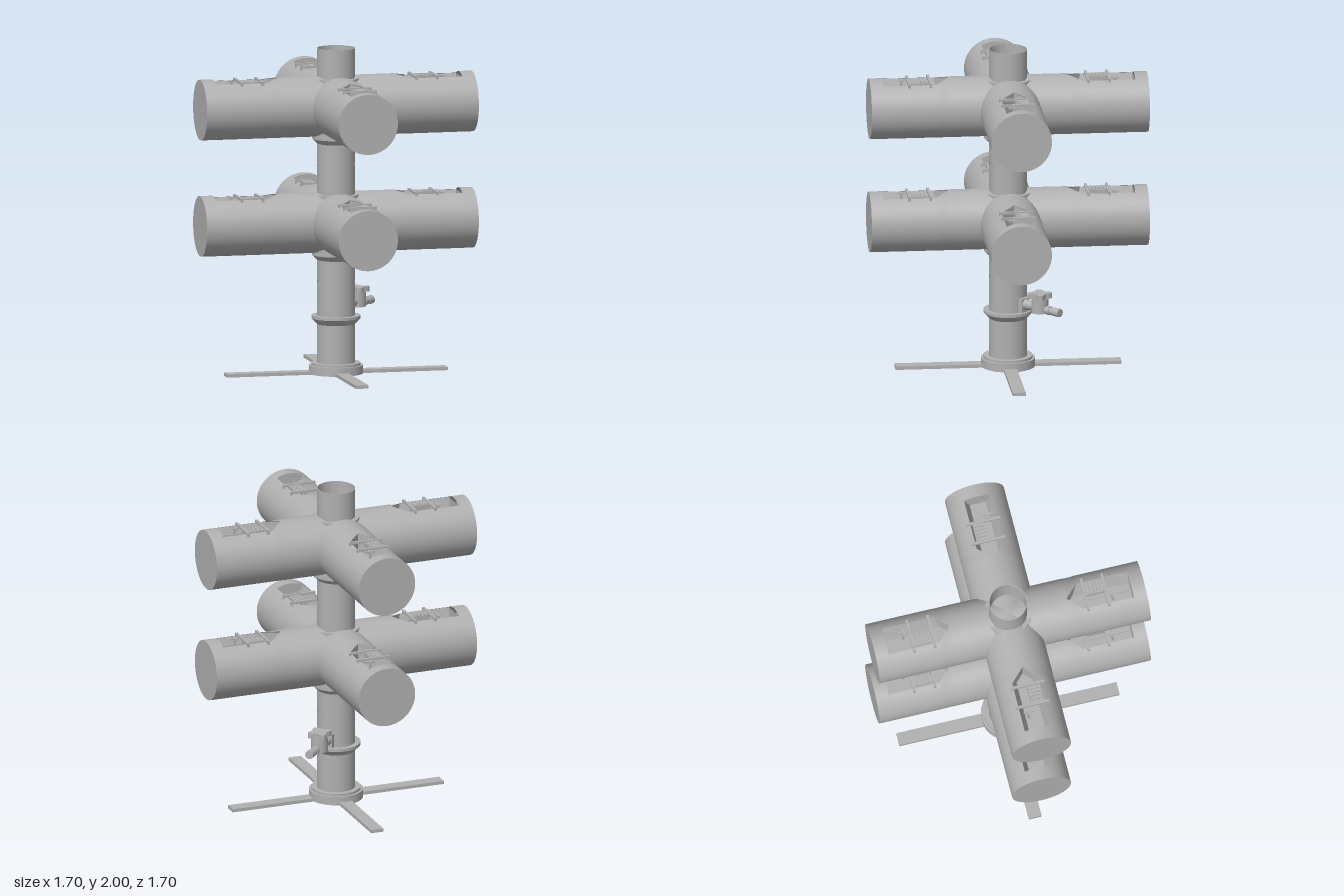
import * as THREE from 'three';

const R = 0.185;        // arm tube radius
const COL = 0.117;      // column radius
const HALF = 0.085;     // half width of an arm opening
const grey = new THREE.MeshStandardMaterial({ color: 0xb0b0b0, side: THREE.DoubleSide });
grey.name = 'plain grey';

function add(parent, name, geometry, x = 0, y = 0, z = 0) {
  const mesh = new THREE.Mesh(geometry, grey);
  mesh.name = name;
  mesh.position.set(x, y, z);
  parent.add(mesh);
  return mesh;
}
const box = (parent, name, sx, sy, sz, x, y, z) => add(parent, name, new THREE.BoxGeometry(sx, sy, sz), x, y, z);

// Upright cylinder or cone section between two heights
function ring(parent, name, rBottom, rTop, y0, y1, open = false, sides = 48) {
  return add(parent, name, new THREE.CylinderGeometry(rTop, rBottom, y1 - y0, sides, 1, open), 0, (y0 + y1) / 2, 0);
}

// Tube along x from cross-sections; gap is the half angle left open at the top
function tubeSkin(sections, seg = 64) {
  const pos = [], nor = [], idx = [];
  sections.forEach(({ at, gap }, i) => {
    for (let j = 0; j <= seg; j++) {
      const t = gap + (2 * Math.PI - 2 * gap) * j / seg;
      const c = Math.cos(t), s = Math.sin(t);
      pos.push(at(s), R * c, R * s);
      nor.push(0, c, s);
      if (i && j) {
        const b = i * (seg + 1) + j, a = b - seg - 1;
        idx.push(a - 1, a, b - 1, a, b, b - 1);
      }
    }
  });
  // Make the winding agree with the outward normals
  const v = (k) => new THREE.Vector3().fromArray(pos, k * 3);
  const m = seg + 1 + 8; // a quad in the first band
  const n = v(m - seg).sub(v(m - seg - 1)).cross(v(m).sub(v(m - seg - 1)));
  if (n.dot(new THREE.Vector3().fromArray(nor, m * 3)) < 0) idx.reverse();
  const g = new THREE.BufferGeometry();
  g.setAttribute('position', new THREE.Float32BufferAttribute(pos, 3));
  g.setAttribute('normal', new THREE.Float32BufferAttribute(nor, 3));
  g.setIndex(idx);
  return g;
}

// Flat four-cornered face
function quad(a, b, c, d) {
  const g = new THREE.BufferGeometry();
  g.setAttribute('position', new THREE.Float32BufferAttribute([a, b, c, a, c, d].flat(), 3));
  g.computeVertexNormals();
  return g;
}

// One arm pointing along +x, centred on its axis
function makeArm() {
  const arm = new THREE.Group();
  arm.name = 'arm';
  const open = Math.asin(HALF / R);
  add(arm, 'armTube', tubeSkin([
    { at: (s) => Math.abs(R * s), gap: 0 },
    { at: () => 0.365, gap: 0 },
    { at: () => 0.45, gap: open },
    { at: () => 0.77, gap: open },
  ]));
  add(arm, 'armEndTube', tubeSkin([{ at: () => 0.77, gap: 0 }, { at: () => 0.85, gap: 0 }]));
  add(arm, 'armCap', new THREE.CircleGeometry(R, 64), 0.85).rotation.y = Math.PI / 2;

  // Sloping tray below the opening
  const top = 0.163, low = 0.06, floor = 0.05;
  for (const s of [-1, 1]) {
    add(arm, 'traySide', quad([0.45, top, s * HALF], [0.77, top, s * HALF], [0.77, low, s * floor], [0.415, low, s * floor]));
    add(arm, 'trayNose', quad([0.365, 0.18, 0], [0.45, top, s * HALF], [0.415, low, s * floor], [0.365, low, 0]));
  }
  add(arm, 'trayEnd', quad([0.77, top, -HALF], [0.77, top, HALF], [0.77, low, floor], [0.77, low, -floor]));
  add(arm, 'trayFloor', quad([0.365, low, -floor], [0.77, low, -floor], [0.77, low, floor], [0.365, low, floor]));

  // Crossbars, slatted rack and latch
  for (const x of [0.482, 0.612]) {
    box(arm, 'crossbar', 0.016, 0.014, 0.21, x, 0.17, -0.003);
    for (const z of [-0.1, 0.094]) box(arm, 'crossbarFoot', 0.016, 0.03, 0.014, x, 0.16, z);
  }
  for (let i = 0; i < 5; i++) box(arm, 'slat', 0.018, 0.01, 0.07, 0.503 + i * 0.023, 0.165, -0.037);
  box(arm, 'rackRail', 0.13, 0.03, 0.008, 0.547, 0.152, 0);
  box(arm, 'rackRail', 0.13, 0.012, 0.008, 0.547, 0.165, -0.07);
  box(arm, 'slideRod', 0.31, 0.006, 0.006, 0.605, 0.13, 0.022);
  box(arm, 'latchPlate', 0.045, 0.008, 0.014, 0.65, 0.165, 0.03);
  box(arm, 'latchBar', 0.012, 0.012, 0.06, 0.65, 0.165, 0.032);
  box(arm, 'latchPost', 0.012, 0.1, 0.012, 0.65, 0.11, 0.03);
  return arm;
}

// Four mitred arms with the coupler rings around the column
function makeTier(y) {
  const tier = new THREE.Group();
  tier.name = 'armTier';
  for (let i = 0; i < 4; i++) {
    const arm = makeArm();
    arm.rotation.y = i * Math.PI / 2;
    tier.add(arm);
  }
  ring(tier, 'upperCoupler', 0.146, 0.146, 0.13, 0.173, true);
  const lip = add(tier, 'upperCouplerLip', new THREE.RingGeometry(COL, 0.146, 48), 0, 0.173, 0);
  lip.rotation.x = -Math.PI / 2;
  ring(tier, 'lowerCoupler', 0.147, 0.147, -0.2, -0.13, true);
  ring(tier, 'lowerCouplerTaper', COL, 0.147, -0.23, -0.2, true);
  tier.position.y = y;
  return tier;
}

// Drain valve, built along +x and turned to the back left
function makeValve() {
  const valve = new THREE.Group();
  valve.name = 'valve';
  box(valve, 'valveFlange', 0.03, 0.085, 0.07, 0.125, 0.405, 0);
  const inlet = add(valve, 'valveInlet', new THREE.CylinderGeometry(0.026, 0.034, 0.09, 24), 0.17, 0.41, 0);
  inlet.rotation.z = -Math.PI / 2;
  const body = ring(valve, 'valveBody', 0.052, 0.052, 0.38, 0.47, false, 32);
  body.position.x = 0.25;
  // Lobed handle
  const shape = new THREE.Shape();
  for (let i = 0; i <= 48; i++) {
    const t = i / 48 * Math.PI * 2;
    const r = 0.06 + 0.016 * Math.cos(4 * t);
    if (i) shape.lineTo(r * Math.cos(t), r * Math.sin(t));
    else shape.moveTo(r, 0);
  }
  const knob = add(valve, 'valveHandle', new THREE.ExtrudeGeometry(shape, { depth: 0.032, bevelEnabled: false }), 0.25, 0.471, 0);
  knob.rotation.set(-Math.PI / 2, 0, Math.PI / 4);
  // Hose spout with raised rings
  const parts = [[0.022, 0.29, 0.41], [0.027, 0.31, 0.335], [0.026, 0.36, 0.41]];
  for (const [r, x0, x1] of parts) {
    const spout = add(valve, 'valveSpout', new THREE.CylinderGeometry(r, r, x1 - x0, 24), (x0 + x1) / 2, 0.403, 0);
    spout.rotation.z = -Math.PI / 2;
  }
  valve.rotation.y = Math.PI / 4;
  return valve;
}

export function createModel() {
  const model = new THREE.Group();
  model.name = 'armedColumn';

  // Foot: four flat legs and a stepped hub
  for (let i = 0; i < 4; i++) {
    const leg = new THREE.Group();
    leg.name = 'leg';
    box(leg, 'legBar', 0.59, 0.02, 0.08, 0.395, 0.01, 0);
    leg.rotation.y = i * Math.PI / 2;
    model.add(leg);
  }
  ring(model, 'hub', 0.165, 0.165, 0, 0.053);
  ring(model, 'hubStep', 0.15, 0.15, 0.053, 0.068);

  // Column in lengths divided by narrow grooves
  const joints = [0.06, 0.572, 1.287, 2];
  for (let i = 0; i < 3; i++) {
    ring(model, 'columnLength', COL, COL, joints[i] + (i ? 0.004 : 0), joints[i + 1] - (i < 2 ? 0.004 : 0), true);
    if (i) ring(model, 'columnGroove', 0.111, 0.111, joints[i] - 0.02, joints[i] + 0.02);
  }
  ring(model, 'columnBore', 0.112, 0.112, 1.7, 2, true);
  add(model, 'columnRim', new THREE.RingGeometry(0.112, COL, 48), 0, 2, 0).rotation.x = -Math.PI / 2;
  ring(model, 'boreFloor', 0.001, 0.113, 1.62, 1.72, true);

  // Flared joint above the foot
  ring(model, 'flareTaper', COL, 0.15, 0.305, 0.34, true);
  ring(model, 'flareRim', 0.15, 0.15, 0.34, 0.358);

  model.add(makeTier(0.93), makeTier(1.645), makeValve());
  return model;
}
